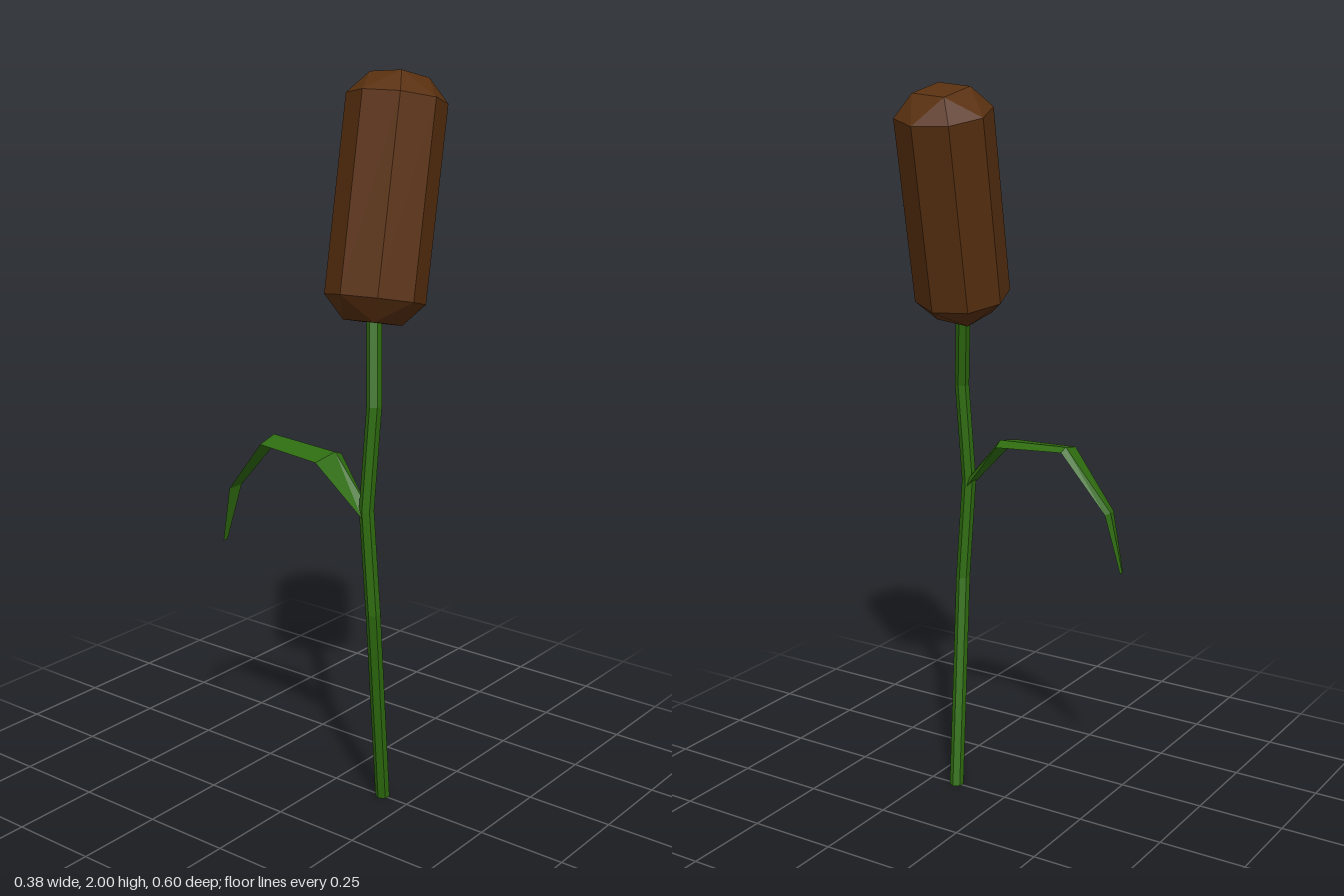
import * as THREE from 'three';

const V = (x, y, z) => new THREE.Vector3(x, y, z);

// Mesh from a flat list of triangle corners
function meshFrom(points, material, name) {
  const geometry = new THREE.BufferGeometry().setFromPoints(points);
  geometry.computeVertexNormals();
  const mesh = new THREE.Mesh(geometry, material);
  mesh.name = name;
  return mesh;
}

// Triangles of a skin over rings that run counter-clockwise seen from the far end
function loft(rings, capped = true) {
  const out = [];
  const n = rings[0].length;
  for (let r = 0; r < rings.length - 1; r++) {
    const a = rings[r], b = rings[r + 1];
    for (let i = 0; i < n; i++) {
      const j = (i + 1) % n;
      out.push(a[i], a[j], b[j], a[i], b[j], b[i]);
    }
  }
  if (capped) {
    const first = rings[0], last = rings[rings.length - 1];
    for (let i = 1; i < n - 1; i++) {
      out.push(first[0], first[i + 1], first[i], last[0], last[i], last[i + 1]);
    }
  }
  return out;
}

// Ring of n points around a centre, in the plane of u and v
function ring(center, u, v, radius, n, start = 0) {
  return Array.from({ length: n }, (_, i) => {
    const t = start + (i / n) * Math.PI * 2;
    return center.clone().addScaledVector(u, radius * Math.cos(t)).addScaledVector(v, radius * Math.sin(t));
  });
}

export function createModel() {
  const group = new THREE.Group();
  const green = new THREE.MeshStandardMaterial({ color: 0x2f6d10, flatShading: true });
  green.name = 'leafGreen';
  const brown = new THREE.MeshStandardMaterial({ color: 0x593010, flatShading: true });
  brown.name = 'headBrown';

  // Bent stem
  const path = [
    V(0, 0, 0.166), V(-0.114, 0.6, 0.214), V(-0.127, 0.89, 0.2),
    V(-0.114, 1.17, 0.213), V(-0.065, 1.4, 0.175),
  ];
  const stem = path.map((p) => ring(p, V(1, 0, 0), V(0, 0, -1), 0.02, 6));
  group.add(meshFrom(loft(stem), green, 'stem'));

  // Arching leaf with an off-centre ridge: [y, z, left edge x, ridge x, right edge x]
  const stations = [
    [0.87, 0.2, -0.145, -0.12, -0.11],
    [1.012, 0.08, -0.19, -0.115, -0.08],
    [1.022, -0.122, -0.175, -0.11, -0.095],
    [0.865, -0.258, -0.15, -0.108, -0.1],
    [0.7, -0.298, -0.135, -0.124, -0.118],
  ];
  const leaf = stations.map(([y, z, left, ridge, right], i) => {
    const p = stations[Math.max(i - 1, 0)], q = stations[Math.min(i + 1, stations.length - 1)];
    const normal = V(0, p[1] - q[1], q[0] - p[0]).normalize();
    const thickness = i === stations.length - 1 ? 0.004 : 0.015;
    return [V(left, y, z), V(ridge, y, z).addScaledVector(normal, thickness), V(right, y, z)];
  });
  group.add(meshFrom(loft(leaf), green, 'leaf'));

  // Tilted eight-sided seed head
  const low = V(-0.057, 1.434, 0.171), high = V(0.0625, 1.93, 0.147);
  const axis = high.clone().sub(low).normalize();
  const u = V(0.127, 0, 0.0125);
  u.addScaledVector(axis, -u.dot(axis)).normalize();
  const v = axis.clone().cross(u);
  const lower = ring(low, u, v, 0.131, 8);
  const upper = ring(high, u, v, 0.131, 8);
  const head = loft([lower, upper], false);

  // Bevelled ends, each narrowing to a square
  for (const [rim, center, side] of [[upper, high, 1], [lower, low, -1]]) {
    const square = ring(center.clone().addScaledVector(axis, 0.06 * side), u, v, 0.076, 4, Math.PI / 4);
    const add = (a, b, c) => (side > 0 ? head.push(a, b, c) : head.push(a, c, b));
    for (let k = 0; k < 4; k++) {
      const mid = rim[2 * k], s = square[k], t = square[(k + 3) % 4];
      add(mid, rim[2 * k + 1], s);
      add(mid, s, t);
      add(mid, t, rim[(2 * k + 7) % 8]);
    }
    add(square[0], square[1], square[2]);
    add(square[0], square[2], square[3]);
  }
  group.add(meshFrom(head, brown, 'seedHead'));

  return group;
}
